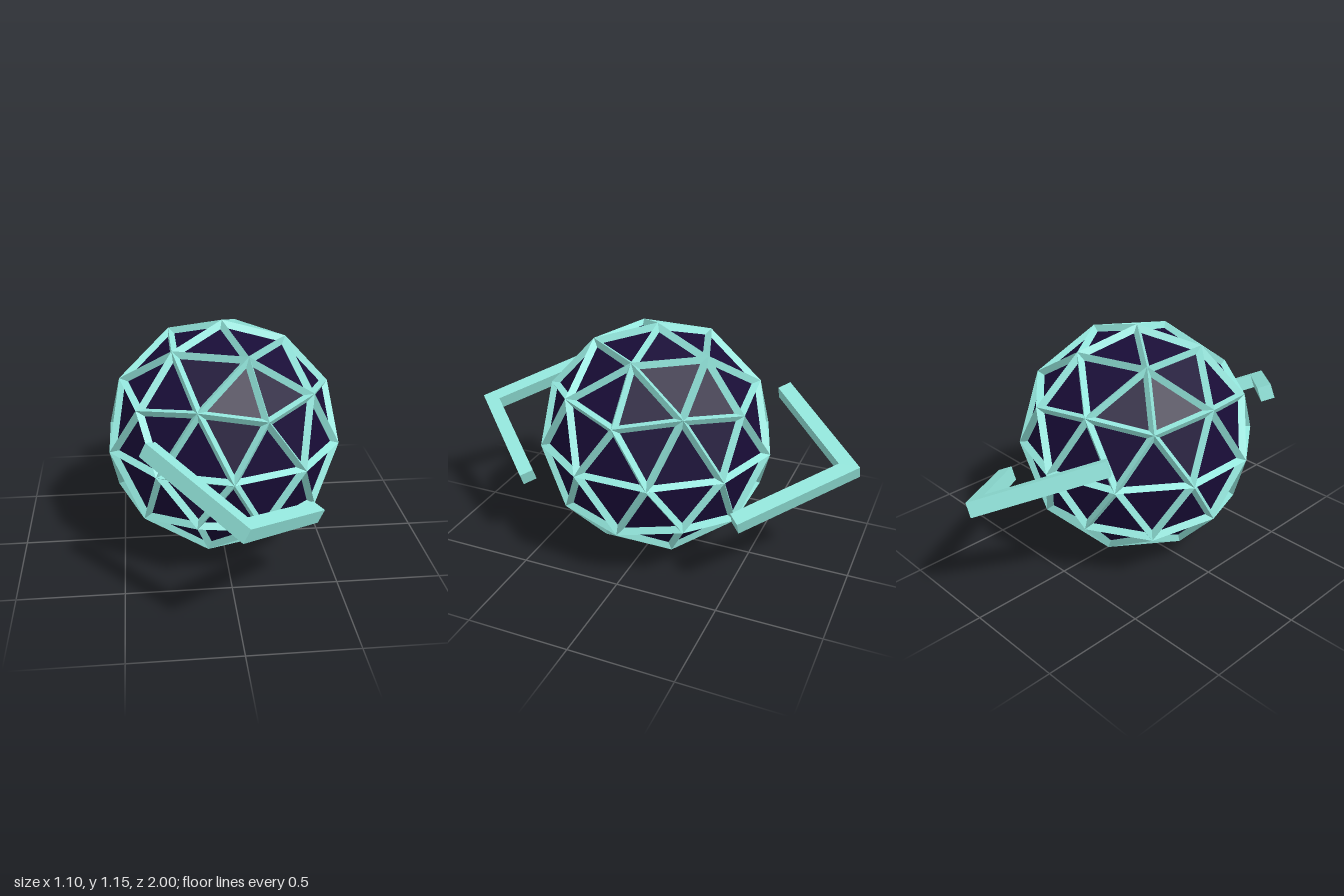
import * as THREE from 'three';

const RIDGE = 0.577;   // radius of the strut ridges
const PANEL = 0.55;    // radius of the panel corners
const STRUT = 0.018;   // half width of a strut
const CENTRE = 0.577;

const aqua = new THREE.MeshStandardMaterial({ color: 0x93e6dc, flatShading: true });
const dark = new THREE.MeshStandardMaterial({ color: 0x180c36, flatShading: true });

// Twice-divided icosahedron with one five-fold corner pointing straight up
function geodesic(radius) {
  const g = new THREE.IcosahedronGeometry(radius, 1);
  g.rotateZ(-Math.atan2(2, 1 + Math.sqrt(5)));
  return g;
}

// Moves corner b of a triangle inwards so both its sides shift by w
function insetCorner(a, b, c, w) {
  const u = a.clone().sub(b).normalize();
  const v = c.clone().sub(b).normalize();
  const sine = u.clone().cross(v).length();
  return b.clone().addScaledVector(u.add(v), w / sine);
}

// Sloping strut sides around every triangle, from the ridge down to the panel
function strutGeometry() {
  const pos = geodesic(1).attributes.position;
  const out = [];
  for (let i = 0; i < pos.count; i += 3) {
    const corners = [0, 1, 2].map(k => new THREE.Vector3().fromBufferAttribute(pos, i + k));
    const outer = corners.map(p => p.clone().multiplyScalar(RIDGE));
    const base = corners.map(p => p.clone().multiplyScalar(PANEL));
    const inner = base.map((p, k) => insetCorner(base[(k + 2) % 3], p, base[(k + 1) % 3], STRUT));
    for (let k = 0; k < 3; k++) {
      const n = (k + 1) % 3;
      for (const p of [outer[k], outer[n], inner[n], outer[k], inner[n], inner[k]]) {
        out.push(p.x, p.y, p.z);
      }
    }
  }
  const g = new THREE.BufferGeometry();
  g.setAttribute('position', new THREE.Float32BufferAttribute(out, 3));
  g.computeVertexNormals();
  return g;
}

// V-shaped bar of square section, its point towards +z
function chevronGeometry() {
  const points = [[0, 1], [-0.436, 0.555], [-0.387, 0.507], [0, 0.903], [0.387, 0.507], [0.436, 0.555]];
  const shape = new THREE.Shape(points.map(p => new THREE.Vector2(...p)));
  const thick = 0.07;
  const g = new THREE.ExtrudeGeometry(shape, { depth: thick, bevelEnabled: false });
  g.translate(0, 0, -thick / 2);
  g.rotateX(Math.PI / 2);
  return g;
}

function addMesh(parent, name, geometry, material) {
  const mesh = new THREE.Mesh(geometry, material);
  mesh.name = name;
  parent.add(mesh);
  return mesh;
}

export function createModel() {
  const model = new THREE.Group();
  model.name = 'geodesicSphereWithChevrons';

  // Sphere
  const sphere = new THREE.Group();
  sphere.name = 'sphere';
  sphere.position.y = CENTRE;
  addMesh(sphere, 'panels', geodesic(PANEL), dark);
  addMesh(sphere, 'strutFrame', strutGeometry(), aqua);
  model.add(sphere);

  // Tilted pair of chevrons, front and back
  const chevrons = new THREE.Group();
  chevrons.name = 'chevrons';
  chevrons.position.y = CENTRE;
  chevrons.rotation.z = -THREE.MathUtils.degToRad(25);
  const bar = chevronGeometry();
  addMesh(chevrons, 'frontChevron', bar, aqua);
  addMesh(chevrons, 'backChevron', bar, aqua).rotation.y = Math.PI;
  model.add(chevrons);

  return model;
}
